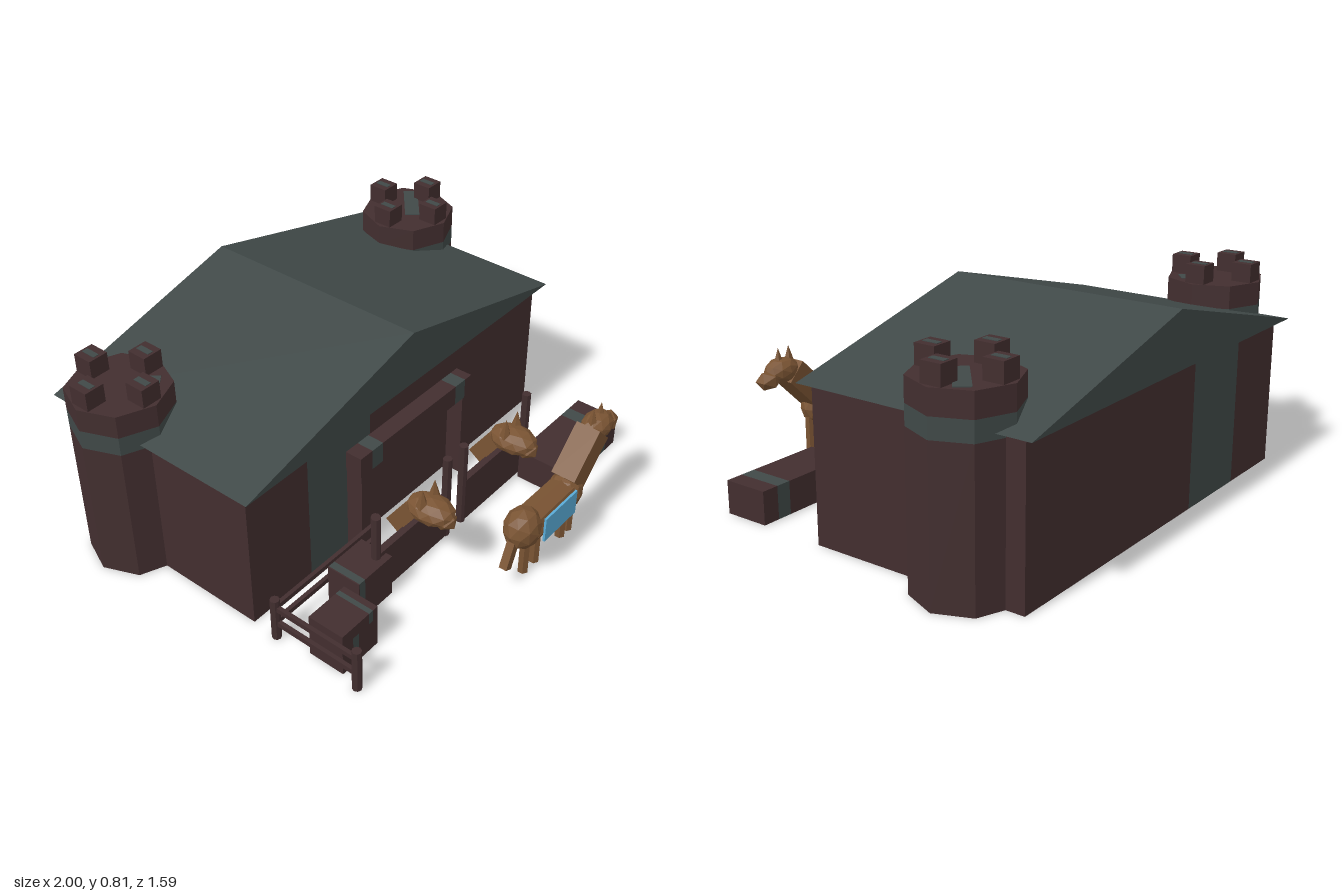
import * as THREE from 'three';

const mat = (name, color) => {
  const m = new THREE.MeshStandardMaterial({ color, flatShading: true });
  m.name = name;
  return m;
};

export function createModel() {
  const root = new THREE.Group();
  root.name = 'stable';
  const wood = mat('dark red wood', 0x422e2f);
  const slate = mat('slate green', 0x404948);
  const coat = mat('horse brown', 0x7a5433);
  const blue = mat('blanket blue', 0x5aacd8);

  const add = (parent, name, geo, m, x = 0, y = 0, z = 0) => {
    const mesh = new THREE.Mesh(geo, m);
    mesh.name = name;
    mesh.position.set(x, y, z);
    parent.add(mesh);
    return mesh;
  };
  const group = (name, x = 0, y = 0, z = 0, parent = root) => {
    const g = new THREE.Group();
    g.name = name;
    g.position.set(x, y, z);
    parent.add(g);
    return g;
  };
  // box given by its limits
  const box = (parent, name, m, x0, x1, y0, y1, z0, z1) =>
    add(parent, name, new THREE.BoxGeometry(x1 - x0, y1 - y0, z1 - z0), m,
      (x0 + x1) / 2, (y0 + y1) / 2, (z0 + z1) / 2);
  // box cut along x, alternating wood and slate
  const stripedBox = (name, xs, y0, y1, z0, z1) => {
    const g = group(name);
    for (let i = 0; i < xs.length - 1; i++)
      box(g, i % 2 ? name + 'Stripe' : name, i % 2 ? slate : wood, xs[i], xs[i + 1], y0, y1, z0, z1);
    return g;
  };
  // faceted lump with half sizes
  const lump = (parent, name, x, y, z, rx, ry, rz, detail = 1) => {
    const geo = new THREE.IcosahedronGeometry(1, detail);
    geo.scale(rx, ry, rz);
    return add(parent, name, geo, coat, x, y, z);
  };
  const post = (parent, name, x, z, h, r = 0.018) =>
    add(parent, name, new THREE.CylinderGeometry(r, r, h, 8), wood, x, h / 2, z);

  // main hall
  stripedBox('hall', [-0.845, -0.54, -0.2, 0.845], 0, 0.592, -0.75, 0.125);
  const gable = new THREE.Shape([
    new THREE.Vector2(-0.88, 0.59), new THREE.Vector2(0.88, 0.59), new THREE.Vector2(0, 0.81)]);
  add(root, 'roof', new THREE.ExtrudeGeometry(gable, { depth: 0.96, bevelEnabled: false }), slate, 0, 0, -0.795);

  // octagonal corner towers
  for (const s of [-1, 1]) {
    const tower = group(s < 0 ? 'rightTower' : 'leftTower', s * 0.81, 0, -0.5);
    [[0, 0.57, wood], [0.57, 0.645, slate], [0.645, 0.735, wood]].forEach(([a, b, m], i) =>
      add(tower, i === 1 ? 'towerBand' : 'towerWall',
        new THREE.CylinderGeometry(0.191, 0.191, b - a, 8), m, 0, (a + b) / 2, 0));
    for (let i = 0; i < 4; i++) {
      const a = i * Math.PI / 2;
      const x = Math.sin(a) * 0.132, z = Math.cos(a) * 0.132;
      box(tower, 'merlon', wood, x - 0.04, x + 0.04, 0.73, 0.808, z - 0.04, z + 0.04);
      box(tower, 'merlonStreak', slate, x - 0.012, x + 0.012, 0.808, 0.81, z - 0.03, z + 0.03);
    }
    // weathered patch on the tower top
    const patch = box(tower, 'towerPatch', slate, -0.08, 0.08, 0.735, 0.738, -0.03, 0.03);
    patch.rotation.y = 0.7;
    patch.scale.x = s > 0 ? 1.3 : 0.45;
    patch.position.set(s > 0 ? 0.05 : 0.08, patch.position.y, s > 0 ? -0.02 : 0.08);
  }

  // doorway frame
  stripedBox('doorLintel', [-0.335, -0.27, -0.21, 0.23, 0.29, 0.33], 0.37, 0.455, 0.125, 0.195);
  for (const s of [-1, 1])
    box(root, 'doorPost', wood, s * 0.305 - 0.027, s * 0.305 + 0.027, 0, 0.37, 0.125, 0.195);

  // stalls, each with a horse looking out
  for (const s of [-1, 1]) {
    const stall = group('stall', s * 0.257, 0, 0.37);
    for (const x of [-0.207, 0.207]) post(stall, 'stallPost', x, 0, 0.37);
    box(stall, 'stallPanel', wood, -0.2, 0.2, 0.005, 0.2, -0.014, 0.014);
    const horse = group('stallHorse', 0, 0, 0, stall);
    const neck = add(horse, 'neck', new THREE.BoxGeometry(0.075, 0.15, 0.065), coat, 0, 0.24, -0.022);
    neck.rotation.x = 0.6;
    lump(horse, 'head', 0, 0.315, 0.085, 0.07, 0.052, 0.1);
    lump(horse, 'muzzle', 0, 0.3, 0.145, 0.045, 0.04, 0.05, 0);
    for (const x of [-0.036, 0.036])
      add(horse, 'ear', new THREE.ConeGeometry(0.025, 0.08, 5), coat, x, 0.38, 0.07);
  }

  // crates and bench
  stripedBox('outerCrate', [-0.83, -0.775, -0.745, -0.645], 0, 0.13, 0.375, 0.525);
  stripedBox('outerCrateTop', [-0.83, -0.69, -0.67, -0.645], 0.13, 0.18, 0.375, 0.525);
  stripedBox('innerCrate', [-0.61, -0.605, -0.575, -0.425], 0, 0.182, 0.27, 0.412);
  stripedBox('bench', [0.405, 0.71, 0.77, 0.84], 0, 0.13, 0.395, 0.58);

  // corner fence
  const fence = group('fence');
  for (const [x, z] of [[-0.845, 0.6], [-0.845, 0.233], [-0.3, 0.233]]) post(fence, 'fencePost', x, z, 0.183);
  for (const y of [0.075, 0.145]) {
    box(fence, 'sideRail', wood, -0.853, -0.837, y - 0.01, y + 0.01, 0.233, 0.6);
    box(fence, 'backRail', wood, -0.845, -0.3, y - 0.01, y + 0.01, 0.225, 0.241);
  }

  // standing horse, facing +x
  const horse = group('horse', 0, 0, 0.714);
  lump(horse, 'rump', -0.055, 0.235, 0, 0.08, 0.085, 0.07);
  lump(horse, 'chest', 0.225, 0.225, 0, 0.075, 0.075, 0.067);
  const barrel = add(horse, 'barrel', new THREE.CylinderGeometry(0.066, 0.069, 0.28, 8), coat, 0.085, 0.225, 0);
  barrel.rotation.z = -Math.PI / 2;
  const neck = add(horse, 'neck', new THREE.BoxGeometry(0.1, 0.21, 0.1), coat, 0.308, 0.34, 0);
  neck.rotation.z = -0.8;
  lump(horse, 'head', 0.415, 0.42, 0, 0.078, 0.052, 0.057);
  lump(horse, 'muzzle', 0.485, 0.395, 0, 0.055, 0.04, 0.045, 0);
  for (const x of [0.375, 0.43])
    add(horse, 'ear', new THREE.ConeGeometry(0.028, 0.085, 5), coat, x, 0.47, 0);
  for (const x of [-0.027, 0.045, 0.222, 0.272])
    add(horse, 'leg', new THREE.CylinderGeometry(0.021, 0.021, 0.19, 6), coat, x, 0.095, 0);
  const tail = add(horse, 'tail', new THREE.BoxGeometry(0.035, 0.13, 0.032), coat, -0.128, 0.165, 0);
  tail.rotation.z = -0.4;
  box(horse, 'blanket', blue, -0.022, 0.182, 0.185, 0.29, 0.067, 0.076);

  return root;
}
